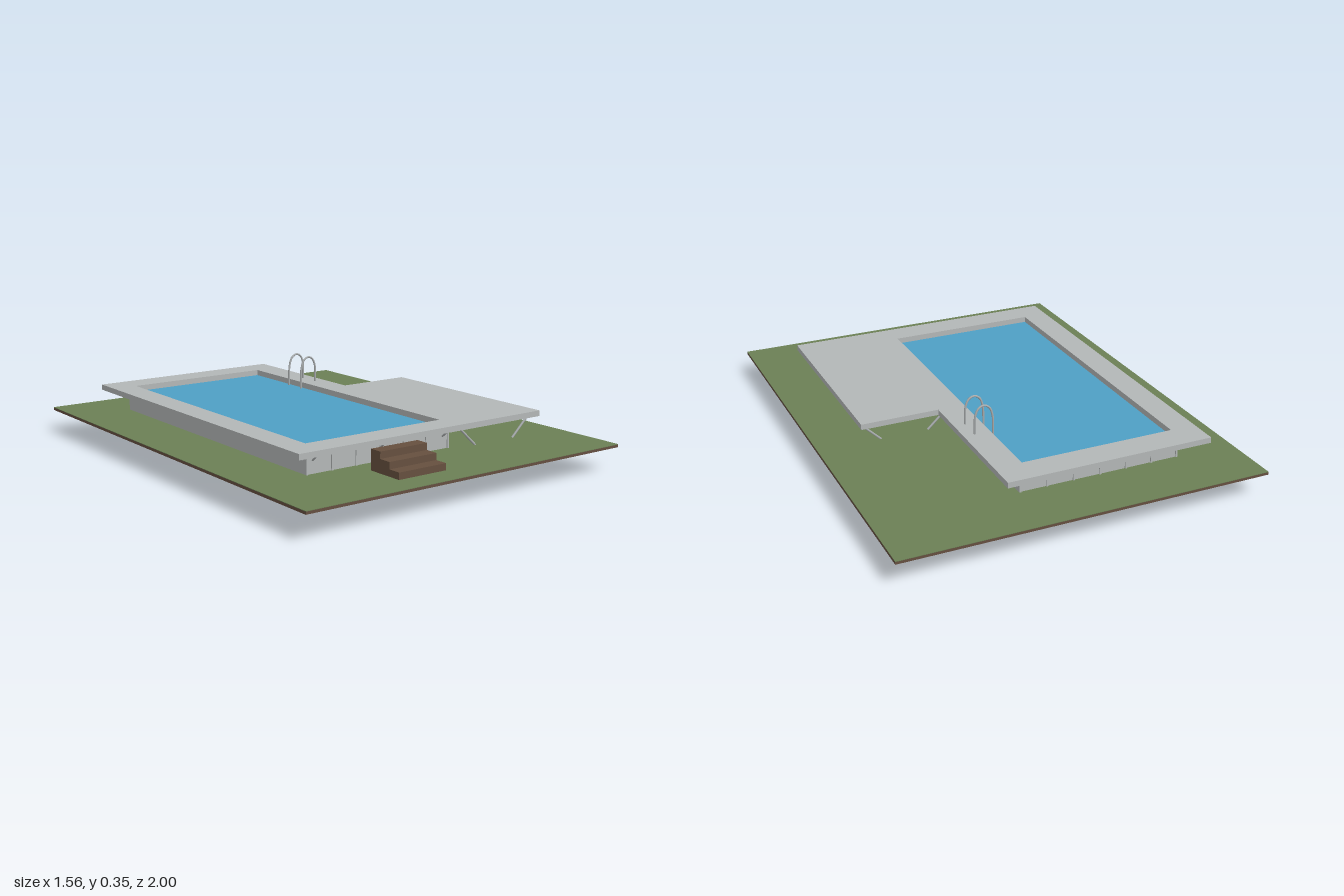
import * as THREE from 'three';

const mat = (name, color, side = THREE.FrontSide) => {
  const m = new THREE.MeshStandardMaterial({ color, side });
  m.name = name;
  return m;
};

export function createModel() {
  const group = new THREE.Group();
  const grass = mat('grass green', 0x6b8055);
  const earth = mat('earth brown', 0x654f40);
  const stone = mat('deck grey', 0xb3b7b7);
  const water = mat('water blue', 0x4f9fc5, THREE.DoubleSide);
  const basin = mat('deep blue', 0x2b66a2, THREE.DoubleSide);
  const wood = mat('step brown', 0x66503f);
  const metal = mat('metal grey', 0xa9adae);

  const GROUND = 0.116, DECK = 0.228, UNDER = 0.204;
  const POOL = [-0.5, 0.16, -0.72, 0.605]; // x0, x1, z0, z1
  const BODY = [-0.52, 0.182, -0.743, 0.636];

  const add = (name, geo, material, x = 0, y = 0, z = 0) => {
    const mesh = new THREE.Mesh(geo, material);
    mesh.name = name;
    mesh.position.set(x, y, z);
    group.add(mesh);
    return mesh;
  };
  const corners = ([x0, x1, z0, z1]) => [[x0, z0], [x1, z0], [x1, z1], [x0, z1]];
  const points = (list) => list.map(([x, z]) => new THREE.Vector2(x, z));

  // Horizontal slab with the pool opening cut out
  const slab = (name, outline, bottom, top, material) => {
    const shape = new THREE.Shape(points(outline));
    shape.holes.push(new THREE.Path(points(corners(POOL))));
    const geo = new THREE.ExtrudeGeometry(shape, { depth: top - bottom, bevelEnabled: false });
    add(name, geo.rotateX(Math.PI / 2), material, 0, top, 0);
  };
  // Horizontal sheet filling the pool opening
  const sheet = (name, y, material) => {
    const [x0, x1, z0, z1] = POOL;
    const geo = new THREE.PlaneGeometry(x1 - x0, z1 - z0).rotateX(-Math.PI / 2);
    add(name, geo, material, (x0 + x1) / 2, y, (z0 + z1) / 2);
  };
  // Straight round bar between two points
  const bar = (name, a, b, r = 0.004) => {
    const path = new THREE.LineCurve3(new THREE.Vector3(...a), new THREE.Vector3(...b));
    add(name, new THREE.TubeGeometry(path, 1, r, 6), metal);
  };

  // Ground
  const plot = corners([-0.78, 0.78, -1, 1]);
  slab('groundBase', plot, 0.103, GROUND - 0.002, earth);
  slab('lawn', plot, GROUND - 0.002, GROUND, grass);

  // Pool
  slab('poolWalls', corners(BODY), GROUND, UNDER, stone);
  sheet('poolFloor', 0, basin);
  sheet('waterSurface', 0.203, water);
  slab('deck', [[-0.61, -0.84], [0.275, -0.84], [0.275, -0.17], [0.61, -0.17], [0.61, 0.72], [-0.61, 0.72]],
    UNDER, DECK, stone);

  // Ribs on the end walls
  for (let i = 0; i <= 6; i++) {
    const x = BODY[0] + 0.004 + i * 0.1157;
    for (const z of [BODY[2] - 0.002, BODY[3] + 0.002]) {
      add('wallRib', new THREE.BoxGeometry(0.008, UNDER - GROUND, 0.006), stone, x, (UNDER + GROUND) / 2, z);
    }
  }

  // Small brackets under the overhang
  const low = 0.168;
  for (const x of [-0.49, -0.17, 0.15]) {
    bar('deckBracket', [x, low, BODY[3]], [x, UNDER, BODY[3] + 0.045]);
    bar('deckBracket', [x, low, BODY[2]], [x, UNDER, BODY[2] - 0.045]);
  }
  for (let i = 0; i < 7; i++) {
    const z = -0.71 + i * 0.22;
    bar('deckBracket', [BODY[0], low, z], [BODY[0] - 0.05, UNDER, z]);
    if (i < 3) bar('deckBracket', [BODY[1], low, z], [BODY[1] + 0.045, UNDER, z]);
  }

  // Sloping struts under the wide part of the deck
  for (let i = 0; i < 4; i++) {
    const z = 0.668 - i * 0.26;
    bar('innerStrut', [0.205, UNDER, z], [0.3, GROUND, z], 0.005);
    bar('outerStrut', [0.6, UNDER, z], [0.508, GROUND, z], 0.005);
  }

  // Entry steps
  for (let i = 0; i < 3; i++) {
    const h = 0.028 * (i + 1);
    add('step', new THREE.BoxGeometry(0.228, h, 0.055), wood, -0.17, GROUND + h / 2, 0.862 - i * 0.055);
  }

  // Ladder
  const rail = [[0.157, 0.028], [0.147, 0.036], [0.144, 0.07], [0.146, 0.15], [0.146, 0.24], [0.149, 0.295],
    [0.163, 0.332], [0.187, 0.345], [0.21, 0.335], [0.224, 0.305], [0.226, 0.27], [0.226, DECK]];
  const sides = [-0.335, -0.43];
  for (const z of sides) {
    const path = new THREE.CatmullRomCurve3(rail.map(([x, y]) => new THREE.Vector3(x, y, z)));
    add('ladderRail', new THREE.TubeGeometry(path, 48, 0.0045, 8), metal);
  }
  for (const y of [0.077, 0.15]) {
    add('ladderRung', new THREE.BoxGeometry(0.018, 0.005, 0.095), metal, 0.144, y, -0.3825);
  }
  return group;
}
